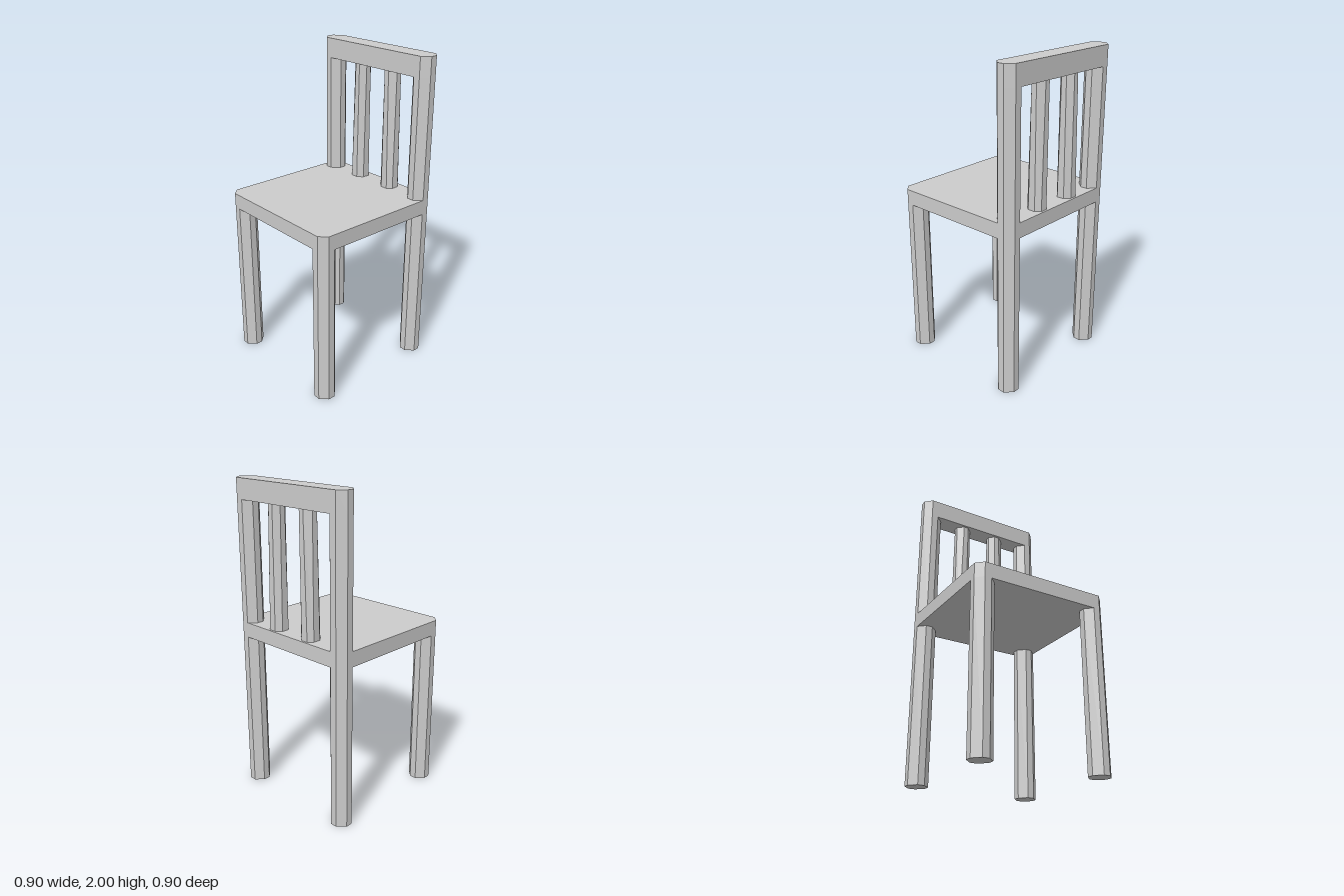
import * as THREE from 'three';

const material = new THREE.MeshStandardMaterial({ color: 0xcccccc, flatShading: true });

// Upright block with its four vertical edges cut off
function chamferedBlock(name, w, d, c, x, z, y0, y1) {
  const a = w / 2, b = d / 2;
  const shape = new THREE.Shape([
    [a, c - b], [a, b - c], [a - c, b], [c - a, b],
    [-a, b - c], [-a, c - b], [c - a, -b], [a - c, -b],
  ].map(([px, py]) => new THREE.Vector2(px, py)));
  const geometry = new THREE.ExtrudeGeometry(shape, { depth: y1 - y0, bevelEnabled: false });
  geometry.rotateX(-Math.PI / 2);
  const mesh = new THREE.Mesh(geometry, material);
  mesh.name = name;
  mesh.position.set(x, y0, z);
  return mesh;
}

// Back slat: an eight-sided bar whose foot leans outward and whose facets skew
function slat(name, side, z, y0, y1) {
  const mesh = chamferedBlock(name, 2, 2, 0.5, 0, z, 0, 1);
  const top = { out: 0.183, outFacet: 0.143, inFacet: 0.111, in: 0.079, half: 0.05, flat: 0.017 };
  const foot = { out: 0.188, outFacet: 0.162, inFacet: 0.116, in: 0.082, half: 0.053, flat: 0.024 };
  const p = mesh.geometry.attributes.position;
  for (let i = 0; i < p.count; i++) {
    const r = p.getY(i) > 0.5 ? top : foot;
    const u = p.getX(i) * side, v = p.getZ(i);
    const x = u > 0.9 ? r.out : u > 0 ? r.outFacet : u > -0.9 ? r.inFacet : r.in;
    const depth = Math.abs(v) > 0.9 ? r.half : r.flat;
    p.setXYZ(i, x * side, p.getY(i) > 0.5 ? y1 : y0, Math.sign(v) * depth);
  }
  mesh.geometry.computeVertexNormals();
  return mesh;
}

export function createModel() {
  const chair = new THREE.Group();
  chair.name = 'chair';
  const size = 0.9, post = 0.133, cut = 0.045;
  const seatBottom = 1.023, seatTop = 1.117, railBottom = 1.875, height = 2;
  const inset = (size - post) / 2;

  // Seat and top rail
  chair.add(chamferedBlock('seat', size, size, cut, 0, 0, seatBottom, seatTop));
  chair.add(chamferedBlock('topRail', size, post, cut, 0, -inset, railBottom, height));

  // Legs, back posts and slats, mirrored
  for (const side of [-1, 1]) {
    const label = side > 0 ? 'left' : 'right';
    chair.add(chamferedBlock(label + 'FrontLeg', post, post, cut, side * inset, inset, 0, seatBottom));
    chair.add(chamferedBlock(label + 'BackLeg', post, post, cut, side * inset, -inset, 0, seatBottom));
    chair.add(chamferedBlock(label + 'BackPost', post, post, cut, side * inset, -inset, seatTop, railBottom));
    chair.add(slat(label + 'BackSlat', side, -inset, seatTop, railBottom));
  }
  return chair;
}
